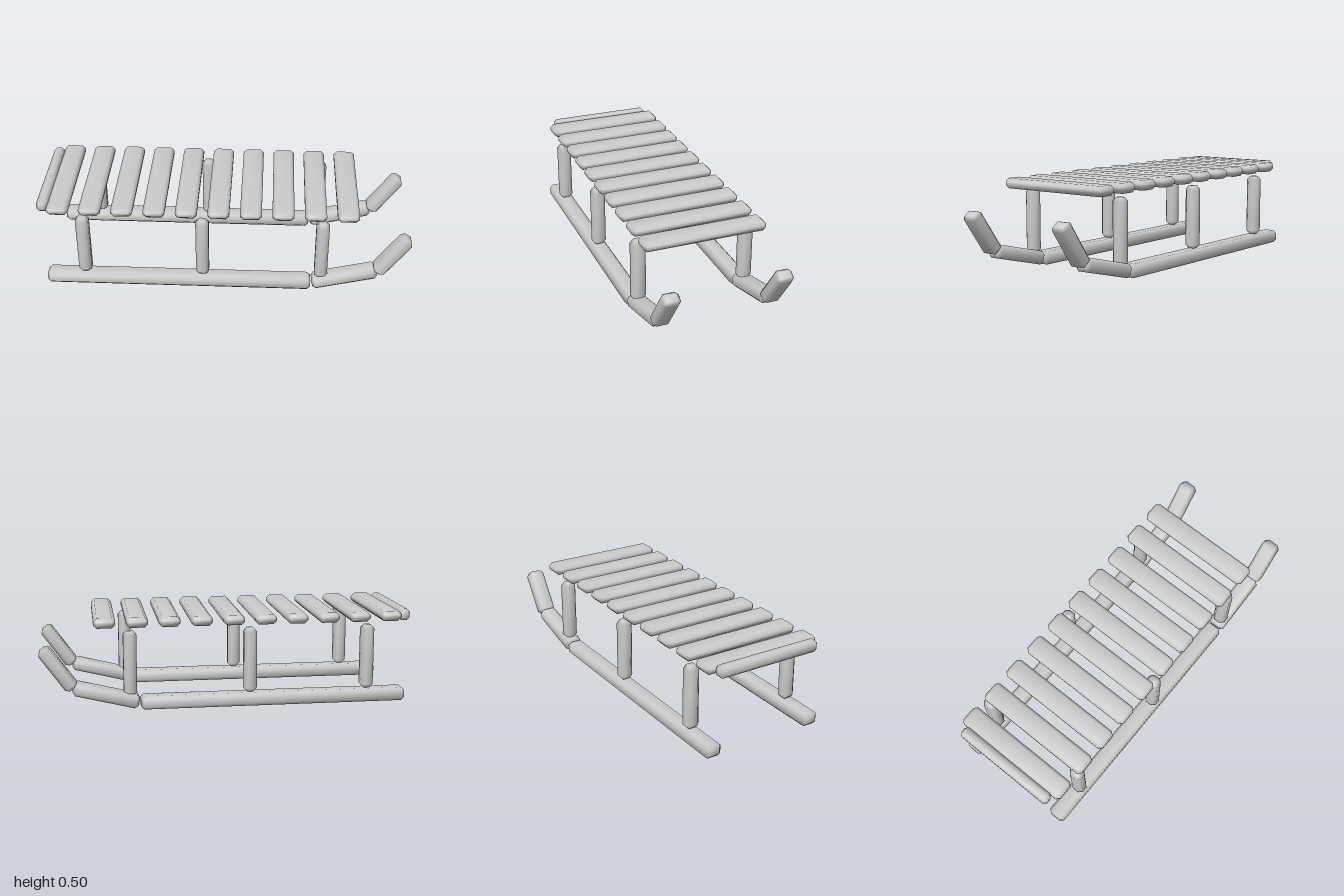
import * as THREE from 'three';
import { mergeVertices } from 'three/addons/utils/BufferGeometryUtils.js';

const material = new THREE.MeshStandardMaterial({ color: 0xcccccc });

// Box with a single chamfer on every edge and smooth normals, built from rings stacked in y
function chamferBox(w, h, d, c) {
  const x = w / 2, y = h / 2, z = d / 2;
  const ring = (py, ox, oz) => [
    [ox, z - c], [x - c, oz], [c - x, oz], [-ox, z - c],
    [-ox, c - z], [c - x, -oz], [x - c, -oz], [ox, c - z],
  ].map(([px, pz]) => [px, py, pz]);
  const rings = [
    ring(-y, x - c, z - c), ring(c - y, x, z), ring(y - c, x, z), ring(y, x - c, z - c),
  ];
  const index = [];
  for (let r = 0; r < 3; r++) {
    for (let i = 0; i < 8; i++) {
      const a = r * 8 + i, b = r * 8 + (i + 1) % 8;
      index.push(a, a + 8, b, b, a + 8, b + 8);
    }
  }
  // End caps
  index.push(0, 2, 4, 0, 4, 6, 24, 28, 26, 24, 30, 28);
  let geo = new THREE.BufferGeometry();
  geo.setAttribute('position', new THREE.Float32BufferAttribute(rings.flat(2), 3));
  geo.setIndex(index);
  geo = mergeVertices(geo, 1e-5);
  geo.computeVertexNormals();
  return geo;
}

export function createModel() {
  const group = new THREE.Group();
  const add = (name, geo, x, y, z, tilt = 0) => {
    const mesh = new THREE.Mesh(geo, material);
    mesh.name = name;
    mesh.position.set(x, y, z);
    mesh.rotation.z = THREE.MathUtils.degToRad(tilt);
    group.add(mesh);
  };

  // Runners with two upturned nose pieces, and the posts standing on them
  const runner = chamferBox(1.44, 0.073, 0.095, 0.018);
  const lowerNose = chamferBox(0.355, 0.073, 0.095, 0.018);
  const upperNose = chamferBox(0.263, 0.073, 0.095, 0.018);
  const post = chamferBox(0.07, 0.348, 0.075, 0.02);
  for (const z of [0.3, -0.3]) {
    add('runner', runner, -0.248, 0.037, z);
    add('lowerNose', lowerNose, 0.652, 0.083, z, 14);
    add('upperNose', upperNose, 0.903, 0.231, z, 54.5);
    for (let i = 0; i < 3; i++) add('post', post, -0.757 + i * 0.641, 0.25, z);
  }

  // Seat slats
  const slat = chamferBox(0.115, 0.054, 0.664, 0.018);
  for (let i = 0; i < 10; i++) add('slat', slat, -0.885 + i * 0.1712, 0.467, 0);

  // Bar across the rear edge of the seat
  add('rearBar', chamferBox(0.06, 0.063, 0.586, 0.016), -0.97, 0.467, 0);
  return group;
}
